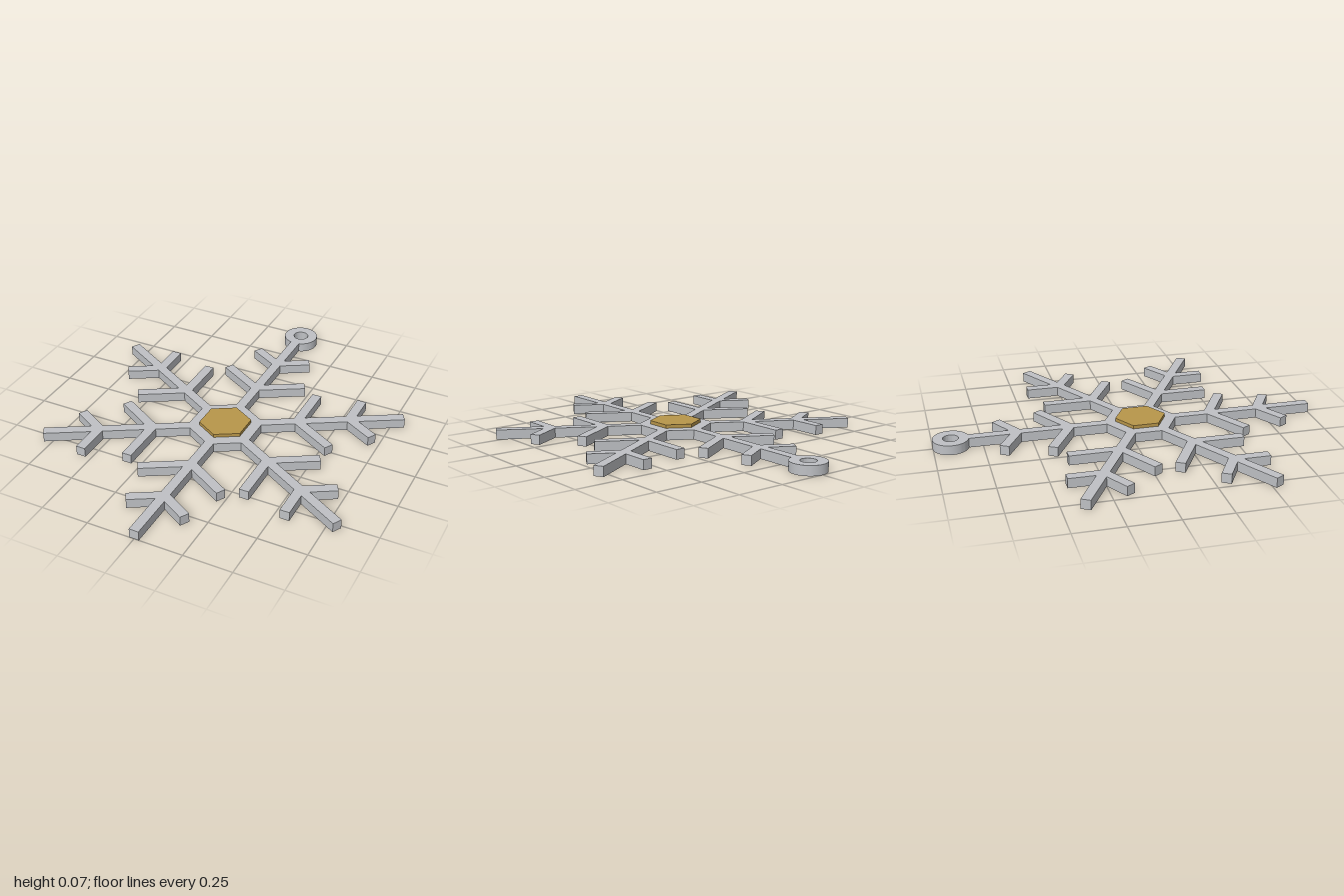
import * as THREE from 'three';
import { toCreasedNormals } from 'three/addons/utils/BufferGeometryUtils.js';

const HALF = 0.025;        // half width of every bar
const ARM = 0.928;         // arm length from the hub centre
const HUB = 0.197;         // hub corner radius
const THICK = 0.05;
const CENTRE_Z = 0.072;
const RING = { at: 0.982, outer: 0.092, hole: 0.04 };
const BRANCHES = [{ at: 0.372, length: 0.263 }, { at: 0.643, length: 0.181 }];
const S60 = Math.sin(Math.PI / 3);

// One side of an arm, [along, across], from the hub outwards
function armSide() {
  const pts = [[HUB - HALF / Math.sqrt(3), HALF]];
  for (const { at, length } of BRANCHES) {
    const root = at + HALF / Math.sqrt(3);
    const spread = HALF / S60;
    const tip = [at + length / 2, length * S60];
    pts.push(
      [root - spread, HALF],
      [tip[0] - HALF * S60, tip[1] + HALF / 2],
      [tip[0] + HALF * S60, tip[1] - HALF / 2],
      [root + spread, HALF]
    );
  }
  return pts;
}

// Arm end: a square tip, or the round outline of the hanging ring
function armEnd(hasRing) {
  if (!hasRing) return [[ARM, -HALF], [ARM, HALF]];
  const limit = Math.PI - Math.asin(HALF / RING.outer);
  const pts = [];
  for (let i = 0; i <= 48; i++) {
    const a = limit * (i / 24 - 1);
    pts.push([RING.at + RING.outer * Math.cos(a), RING.outer * Math.sin(a)]);
  }
  return pts;
}

// Lays an extruded shape flat, with its base at the given height
function flatExtrude(shape, depth, y) {
  const geo = new THREE.ExtrudeGeometry(shape, { depth, bevelEnabled: false, curveSegments: 32 });
  geo.rotateX(-Math.PI / 2).translate(0, y, CENTRE_Z);
  return toCreasedNormals(geo, 0.5);
}

export function createModel() {
  const silver = new THREE.MeshStandardMaterial({ name: 'silver', color: 0xbfc1c5 });
  const gold = new THREE.MeshStandardMaterial({ name: 'gold', color: 0xb8964a });
  const group = new THREE.Group();
  group.name = 'snowflakeOrnament';

  // Snowflake outline: six arms, the first one carrying the ring
  const outline = [];
  const side = armSide();
  const mirrored = side.map(([u, v]) => [u, -v]);
  for (let k = 0; k < 6; k++) {
    const angle = Math.PI / 2 + k * Math.PI / 3;
    const arm = [...mirrored, ...armEnd(k === 0), ...[...side].reverse()];
    for (const [u, v] of arm) {
      outline.push(new THREE.Vector2(u, v).rotateAround(new THREE.Vector2(), angle));
    }
  }
  const flake = new THREE.Shape(outline);
  flake.holes.push(new THREE.Path().absarc(0, RING.at, RING.hole, 0, Math.PI * 2, true));
  const body = new THREE.Mesh(flatExtrude(flake, THICK, 0), silver);
  body.name = 'snowflake';
  group.add(body);

  // Raised hexagon in the middle
  const hexagon = new THREE.Shape();
  for (let k = 0; k < 6; k++) {
    const a = Math.PI / 2 + k * Math.PI / 3;
    hexagon[k ? 'lineTo' : 'moveTo'](0.133 * Math.cos(a), 0.133 * Math.sin(a));
  }
  const centre = new THREE.Mesh(flatExtrude(hexagon, 0.018, THICK), gold);
  centre.name = 'centreHexagon';
  group.add(centre);

  return group;
}
